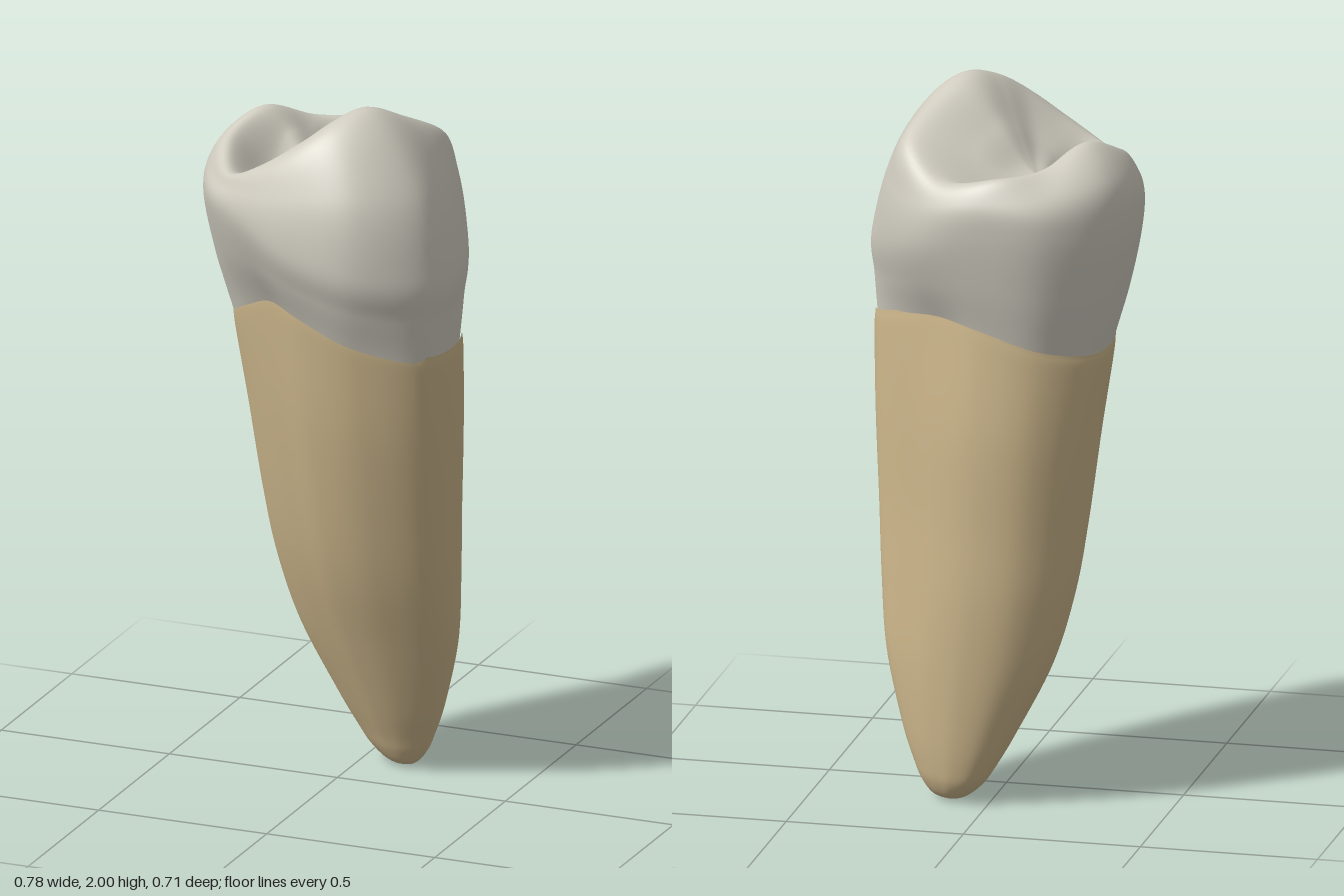
import * as THREE from 'three';
import { mergeVertices } from 'three/addons/utils/BufferGeometryUtils.js';

const N = 12;      // control points per ring, every 30 degrees from +x towards +z
const SEG = 96;    // smooth segments round each ring
const { lerp } = THREE.MathUtils;

const angle = (k) => (k / N) * Math.PI * 2;
const polar = (a, r, y) => new THREE.Vector3(Math.cos(a) * r, y, Math.sin(a) * r);
const ring = (f) => Array.from({ length: N }, (_, k) => f(k, angle(k)));

// wavy neck line between root and crown
const NECK_Y = 1.355;
const wave = (a) => 0.03 * Math.sin(a) - 0.055 * Math.cos(2 * (a - 0.44));

// radii of the neck, and radii and heights of the widest crown section
const NECK = [0.364, 0.395, 0.33, 0.272, 0.23, 0.245, 0.308, 0.335, 0.32, 0.287, 0.265, 0.292];
const WIDE = [0.378, 0.42, 0.395, 0.347, 0.332, 0.352, 0.388, 0.402, 0.382, 0.349, 0.35, 0.353];
const WIDE_Y = [1.57, 1.57, 1.59, 1.63, 1.68, 1.69, 1.66, 1.65, 1.66, 1.66, 1.62, 1.59];

// smooth skin through closed rings, listed from bottom to top
function loft(rings, rows) {
  const curves = rings.map((r) => new THREE.CatmullRomCurve3(r, true, 'catmullrom', 0.5));
  const pos = [];
  const index = [];
  for (let s = 0; s < SEG; s++) {
    const profile = new THREE.CatmullRomCurve3(
      curves.map((c) => c.getPoint(s / SEG)), false, 'catmullrom', 0.5);
    for (let j = 0; j <= rows; j++) pos.push(...profile.getPoint(j / rows).toArray());
  }
  for (let s = 0; s < SEG; s++) {
    for (let j = 0; j < rows; j++) {
      const a = s * (rows + 1) + j;
      const b = ((s + 1) % SEG) * (rows + 1) + j;
      index.push(a, a + 1, b, b, a + 1, b + 1);
    }
  }
  let geo = new THREE.BufferGeometry();
  geo.setAttribute('position', new THREE.Float32BufferAttribute(pos, 3));
  geo.setIndex(index);
  geo = mergeVertices(geo, 1e-5);
  geo.computeVertexNormals();
  return geo;
}

// root: the neck section squeezed into a narrowing, leaning box
function rootGeometry() {
  const boxes = [ // height, x min, x max, z min, z max
    [0.0, 0.115, 0.115, -0.18, -0.18],
    [0.012, 0.07, 0.162, -0.212, -0.146],
    [0.05, 0.023, 0.194, -0.24, -0.12],
    [0.1, -0.012, 0.217, -0.254, -0.098],
    [0.2, -0.068, 0.254, -0.269, -0.053],
    [0.4, -0.165, 0.306, -0.291, 0.03],
    [0.6, -0.22, 0.328, -0.306, 0.11],
    [0.8, -0.25, 0.342, -0.309, 0.17],
    [1.07, -0.28, 0.36, -0.312, 0.235],
    [1.31, -0.308, 0.37, -0.296, 0.275],
    [1.375, -0.309, 0.368, -0.29, 0.282],
  ];
  const rings = boxes.map(([h, x0, x1, z0, z1]) => ring((k, a) => {
    const p = polar(a, NECK[k], 0);
    const u = (p.x + 0.308) / 0.672 - 0.5;
    const v = (p.z + 0.287) / 0.573 - 0.5;
    // shallow groove down one side
    const groove = k === 11 ? 1 - 0.08 * Math.sin(Math.PI * Math.min(1, h / NECK_Y)) : 1;
    return new THREE.Vector3(
      (x0 + x1) / 2 + u * groove * (x1 - x0),
      h + wave(a) * (h / NECK_Y) ** 4,
      (z0 + z1) / 2 + v * groove * (z1 - z0));
  }));
  return loft(rings, 80);
}

// crown: neck, bulge, shoulder, cusp crest, then down into the chewing surface
function crownGeometry() {
  const shoulder = [0.83, 0.85, 0.89, 0.92, 0.95, 0.95, 0.97, 0.955, 0.95, 0.98, 0.97, 0.95];
  const shoulderY = [1.8, 1.8, 1.8, 1.785, 1.77, 1.755, 1.77, 1.79, 1.76, 1.755, 1.73, 1.75];
  const crest = [
    [0.195, 1.95, -0.01], [0.145, 1.998, 0.1], [0.075, 1.975, 0.185], [-0.01, 1.92, 0.23],
    [-0.13, 1.84, 0.225], [-0.24, 1.785, 0.165], [-0.305, 1.835, 0.02], [-0.26, 1.887, -0.11],
    [-0.165, 1.835, -0.225], [-0.05, 1.82, -0.285], [0.12, 1.795, -0.26], [0.235, 1.87, -0.16],
  ].map((p) => new THREE.Vector3(...p));
  // heights halfway in: cusp slopes and the two pits
  const innerY = [1.87, 1.89, 1.87, 1.83, 1.785, 1.715, 1.735, 1.825, 1.795, 1.73, 1.76, 1.83];
  const centre = new THREE.Vector3(-0.11, 1.768, -0.08);
  const inner = ring((k) => crest[k].clone().lerp(centre, 0.5).setY(innerY[k]));
  const floor = ring((k) => inner[k].clone().lerp(centre, 0.6)
    .setY(lerp(innerY[k], centre.y, 0.75)));

  return loft([
    ring((k, a) => polar(a, NECK[k] - 0.001, NECK_Y + wave(a))),
    ring((k, a) => polar(a, lerp(NECK[k], WIDE[k], 0.6), lerp(NECK_Y + wave(a), WIDE_Y[k], 0.48))),
    ring((k, a) => polar(a, WIDE[k], WIDE_Y[k])),
    ring((k, a) => polar(a, WIDE[k] * shoulder[k], shoulderY[k])),
    crest,
    inner,
    floor,
    ring(() => centre.clone()),
  ], 70);
}

export function createModel() {
  const enamel = new THREE.MeshStandardMaterial({ color: 0xcfcbbf });
  enamel.name = 'enamel';
  const dentine = new THREE.MeshStandardMaterial({ color: 0xcdb78c });
  dentine.name = 'dentine';

  const model = new THREE.Group();
  model.name = 'tooth';
  const parts = [['root', rootGeometry(), dentine], ['crown', crownGeometry(), enamel]];
  for (const [name, geometry, material] of parts) {
    const mesh = new THREE.Mesh(geometry, material);
    mesh.name = name;
    model.add(mesh);
  }
  return model;
}
